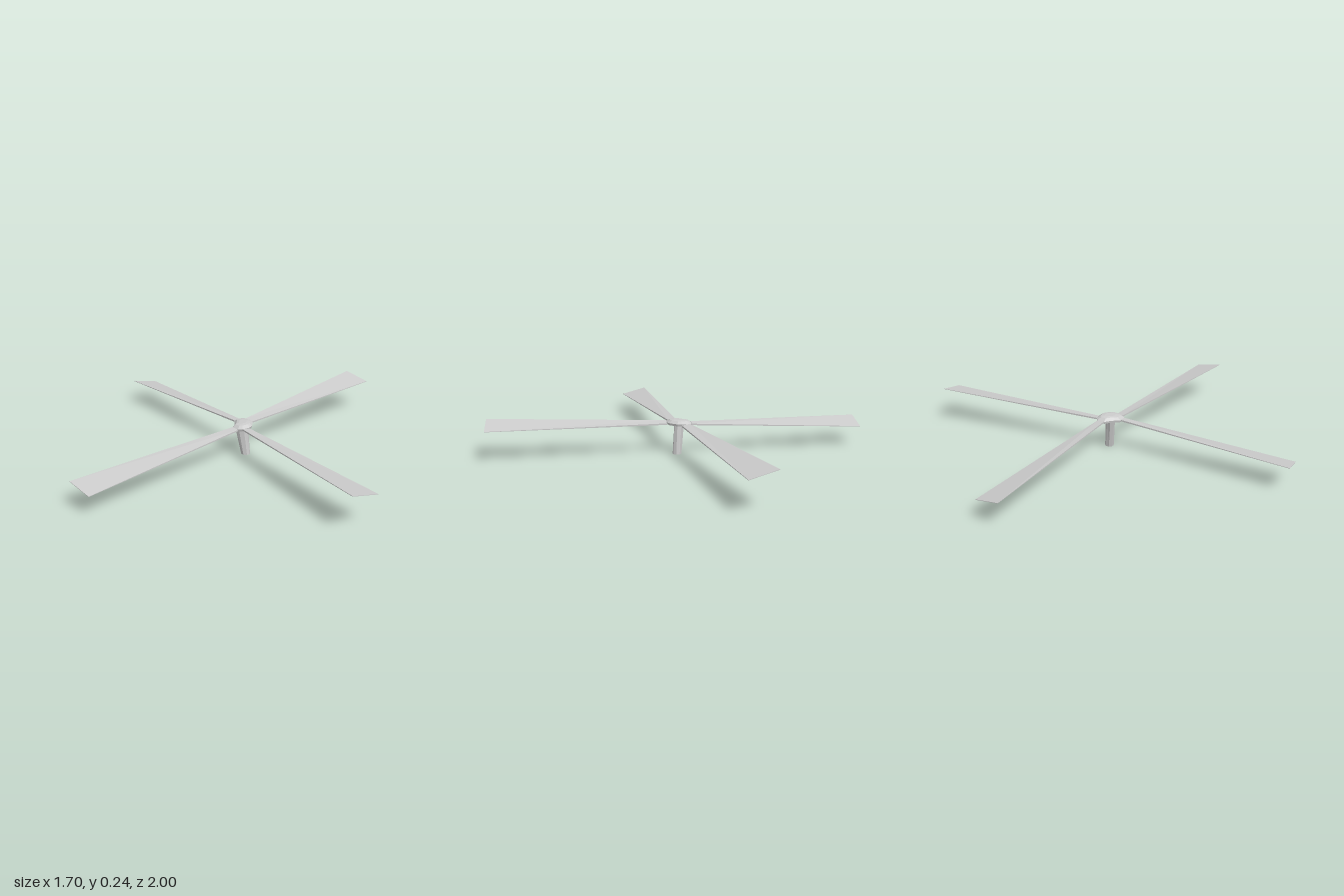
import * as THREE from 'three';

const material = new THREE.MeshStandardMaterial({ color: 0xcccccc, flatShading: true });

// Closed flat-shaded solid through rings of equal point count
function loft(name, rings) {
  const n = rings[0].length, pos = [];
  const tri = (a, b, c) => pos.push([a, b, c]);
  for (let r = 0; r < rings.length - 1; r++) {
    for (let i = 0; i < n; i++) {
      const j = (i + 1) % n, a = rings[r], b = rings[r + 1];
      tri(a[i], a[j], b[j]);
      tri(a[i], b[j], b[i]);
    }
  }
  const middle = (ring) => [0, 1, 2].map((k) => ring.reduce((s, p) => s + p[k], 0) / n);
  const first = rings[0], last = rings[rings.length - 1];
  const c0 = middle(first), c1 = middle(last);
  for (let i = 0; i < n; i++) {
    const j = (i + 1) % n;
    tri(c0, first[j], first[i]);
    tri(c1, last[i], last[j]);
  }
  // Turn all faces outward, whichever way the rings run
  const v = (p) => new THREE.Vector3(...p).sub(new THREE.Vector3(...c0));
  const volume = pos.reduce((s, [a, b, c]) => s + v(a).dot(v(b).cross(v(c))), 0);
  const flat = pos.flatMap(([a, b, c]) => (volume < 0 ? [...a, ...c, ...b] : [...a, ...b, ...c]));
  const geometry = new THREE.BufferGeometry();
  geometry.setAttribute('position', new THREE.Float32BufferAttribute(flat, 3));
  geometry.computeVertexNormals();
  const mesh = new THREE.Mesh(geometry, material);
  mesh.name = name;
  return mesh;
}

// Pitched blade: each end is an edge pair [a, b] with a thickness, side mirrors z
function blade(name, root, tip, side) {
  const section = ([a, b], t) => [
    [a[0], a[1], a[2] * side], [b[0], b[1], b[2] * side],
    [b[0], b[1] - t, b[2] * side], [a[0], a[1] - t, a[2] * side],
  ];
  return loft(name, [section(root, 0.01), section(tip, 0.003)]);
}

export function createModel() {
  const rotor = new THREE.Group();
  rotor.name = 'rotor';

  // Four blades, mirrored in z
  for (const side of [1, -1]) {
    const end = side > 0 ? 'Front' : 'Back';
    rotor.add(blade('left' + end + 'Blade',
      [[0.045, 0.205, 0.088], [0.088, 0.198, 0.055]],
      [[0.71, 0.242, 1.0], [0.85, 0.206, 0.89]], side));
    rotor.add(blade('right' + end + 'Blade',
      [[0.017, 0.199, 0.088], [-0.02, 0.203, 0.055]],
      [[-0.715, 0.13, 0.94], [-0.85, 0.165, 0.835]], side));
  }

  // Hub: slightly tilted plate rising to a shallow cap
  const half = [[0.1, 0.03], [0.088, 0.055], [0.045, 0.088], [0.017, 0.088], [-0.02, 0.055], [-0.015, 0.02]];
  const outline = [...half, ...half.map(([x, z]) => [x, -z]).reverse()];
  const hubRing = (scale, y) => outline.map(([x, z]) => {
    const px = 0.037 + (x - 0.037) * scale;
    return [px, y + (px - 0.037) * 0.047, z * scale];
  });
  rotor.add(loft('hub', [hubRing(0.95, 0.188), hubRing(1, 0.202), hubRing(0.72, 0.218), hubRing(0.4, 0.222)]));

  // Mast: eight-sided shaft, drawn out toward -x at the top
  const mastRing = (y, x0, x1) => Array.from({ length: 8 }, (_, i) => {
    const a = (i + 0.5) * Math.PI / 4, c = Math.cos(a) / Math.cos(Math.PI / 8);
    return [(x0 + x1) / 2 + c * (x1 - x0) / 2, y, 0.026 * Math.sin(a) / Math.cos(Math.PI / 8)];
  });
  rotor.add(loft('mast', [mastRing(0, 0.03, 0.085), mastRing(0.195, -0.01, 0.07)]));

  return rotor;
}
